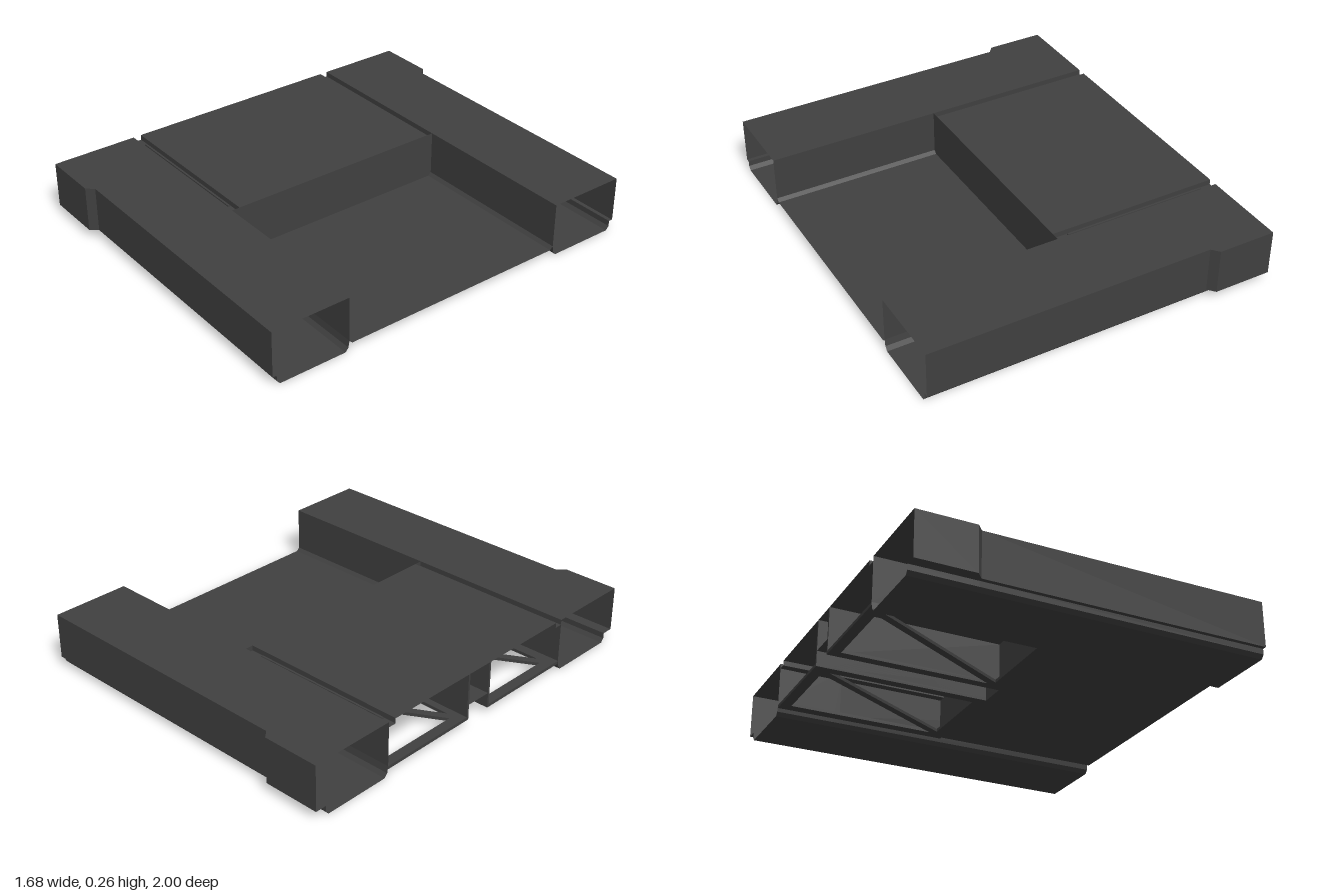
import * as THREE from 'three';

const material = new THREE.MeshStandardMaterial({ color: 0x404040, flatShading: true, side: THREE.DoubleSide });

// Lofts a [z, y] profile along x; profileAt(i) gives the section at xs[i]. side mirrors it in z.
function loft(xs, profileAt, side = 1, closed = true) {
  const pos = [];
  const pt = (i, j) => {
    const p = profileAt(i);
    const [z, y] = p[j % p.length];
    return [xs[i], y, z * side];
  };
  const count = profileAt(0).length - (closed ? 0 : 1);
  for (let i = 0; i < xs.length - 1; i++) {
    for (let j = 0; j < count; j++) {
      const a = pt(i, j), b = pt(i + 1, j), c = pt(i + 1, j + 1), d = pt(i, j + 1);
      const tris = side > 0 ? [a, d, c, a, c, b] : [a, c, d, a, b, c];
      tris.forEach((v) => pos.push(...v));
    }
  }
  const g = new THREE.BufferGeometry();
  g.setAttribute('position', new THREE.Float32BufferAttribute(pos, 3));
  g.computeVertexNormals();
  return g;
}

export function createModel() {
  const group = new THREE.Group();
  const add = (name, geometry) => {
    const mesh = new THREE.Mesh(geometry, material);
    mesh.name = name;
    group.add(mesh);
    return mesh;
  };
  // Box given by its minimum and maximum corners
  const box = (name, x0, x1, y0, y1, z0, z1) => {
    const mesh = add(name, new THREE.BoxGeometry(x1 - x0, y1 - y0, z1 - z0));
    mesh.position.set((x0 + x1) / 2, (y0 + y1) / 2, (z0 + z1) / 2);
    return mesh;
  };

  // Side beams: open-ended hollow tubes, wider at one end, with a narrower base
  const beamX = [-0.84, -0.56, -0.53, 0.84];
  const beamOuter = [1, 1, 0.965, 0.965];
  const beamProfile = (i) => [
    [0.58, 0.265], [beamOuter[i], 0.265], [beamOuter[i], 0.045], [0.945, 0.045],
    [0.945, 0.018], [0.93, 0], [0.6, 0], [0.585, 0.018], [0.58, 0.05],
  ];
  add('frontBeam', loft(beamX, beamProfile, 1));
  add('backBeam', loft(beamX, beamProfile, -1));

  // Low floor with small bevels up to the beams
  const floor = [[-0.58, 0.05], [-0.565, 0.035], [0.565, 0.035], [0.58, 0.05]];
  add('floor', loft([0, 0.84], () => floor, 1, false));

  // Raised deck with a shallow groove along each edge
  const deck = [
    [-0.58, 0.24], [-0.54, 0.24], [-0.54, 0.265], [0.54, 0.265], [0.54, 0.24], [0.58, 0.24],
  ];
  add('raisedDeck', loft([-0.84, 0], () => deck, 1, false));

  // Upright face between the deck and the floor
  const face = new THREE.Shape([
    [-0.58, 0.05], [-0.565, 0.035], [0.565, 0.035], [0.58, 0.05], [0.58, 0.265], [-0.58, 0.265],
  ].map(([z, y]) => new THREE.Vector2(-z, y)));
  add('deckFace', new THREE.ShapeGeometry(face)).rotation.y = Math.PI / 2;

  // Central channel under the deck
  const channel = [[-0.065, 0.035], [-0.065, 0.11], [0.065, 0.11], [0.065, 0.035]];
  add('channel', loft([-0.84, 0], () => channel, 1, false));

  for (const s of [-1, 1]) {
    const side = s > 0 ? 'front' : 'back';
    const span = (a, b) => [Math.min(a * s, b * s), Math.max(a * s, b * s)];

    // Slot strip lying in the deck groove
    box(side + 'SlotStrip', -0.78, -0.07, 0.24, 0.246, ...span(0.545, 0.555));

    // Channel side wall up to the deck
    box(side + 'ChannelWall', -0.84, 0, 0.035, 0.264, ...span(0.065, 0.075));

    // Bottom frame around each open bay
    box(side + 'OuterRail', -0.84, 0, 0.035, 0.05, ...span(0.53, 0.58));
    box(side + 'InnerRail', -0.84, 0, 0.035, 0.05, ...span(0.065, 0.11));
    box(side + 'EndRail', -0.84, -0.79, 0.035, 0.05, ...span(0.1, 0.54));
    box(side + 'NearRail', -0.05, 0, 0.035, 0.05, ...span(0.1, 0.54));

    // Diagonal brace across the bay; both slant the same way
    const brace = add(side + 'Brace', new THREE.BoxGeometry(0.86, 0.015, 0.035));
    brace.position.set(-0.42, 0.0425, 0.32 * s);
    brace.rotation.y = Math.atan2(0.42, 0.75);
  }
  return group;
}
